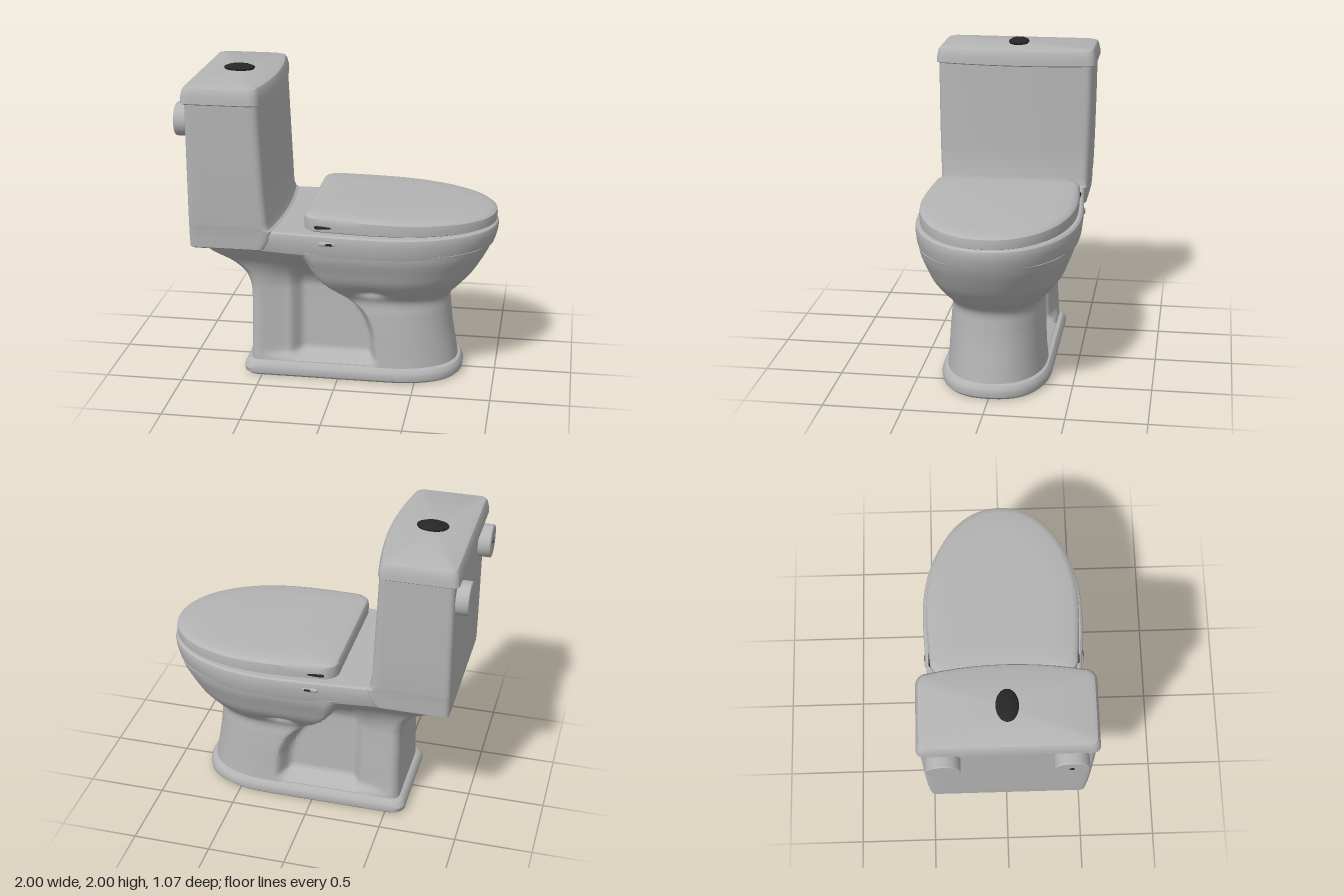
import * as THREE from 'three';
import { toCreasedNormals } from 'three/addons/utils/BufferGeometryUtils.js';

const smooth = (a, b, x) => THREE.MathUtils.smoothstep(x, a, b);

// Closed plan outline at one height: +z side, front, -z side, back.
// y may be a number or a rule of x; width(x) gives the half width.
function ring(y, xb, xf, width, { r = 0.05, rf = 0, bow = 0, n = 60, m = 10 } = {}) {
  const pts = [], side = [];
  const round = (d, rad) => (d < rad ? rad - Math.sqrt(Math.max(0, rad * rad - (rad - d) ** 2)) : 0);
  const xe = xf - bow;
  for (let i = 0; i <= n; i++) {
    const x = xb + (xe - xb) * (1 - Math.cos(Math.PI * i / n)) / 2;
    side.push([x, Math.max(0, width(x) - round(x - xb, r) - round(xe - x, rf))]);
  }
  const add = (x, z) => pts.push(new THREE.Vector3(x, typeof y === 'function' ? y(x) : y, z));
  const wf = side[n][1], wb = side[0][1];
  side.forEach(([x, z]) => add(x, z));
  for (let i = 1; i < m; i++) {
    const k = 1 - 2 * i / m;
    add(xe + bow * (1 - k * k), wf * k);
  }
  side.slice().reverse().forEach(([x, z]) => add(x, -z));
  for (let i = 1; i < m; i++) add(xb, wb * (2 * i / m - 1));
  return pts;
}

// Skin a stack of rings from bottom to top and cap both ends.
function loft(rings, crease = 0.6) {
  const pos = [], n = rings[0].length, ab = new THREE.Vector3(), ac = new THREE.Vector3();
  const tri = (a, b, c) => {
    if (ab.subVectors(b, a).cross(ac.subVectors(c, a)).lengthSq() < 1e-16) return;
    [a, b, c].forEach(p => pos.push(p.x, p.y, p.z));
  };
  const centre = R => R.reduce((s, p) => s.add(p), new THREE.Vector3()).divideScalar(n).setZ(0);
  const top = rings[rings.length - 1], low = rings[0], ct = centre(top), cl = centre(low);
  for (let i = 0; i < n; i++) {
    const j = (i + 1) % n;
    for (let k = 0; k + 1 < rings.length; k++) {
      const A = rings[k], B = rings[k + 1];
      tri(A[i], A[j], B[i]);
      tri(A[j], B[j], B[i]);
    }
    tri(ct, top[i], top[j]);
    tri(cl, low[j], low[i]);
  }
  const g = new THREE.BufferGeometry();
  g.setAttribute('position', new THREE.Float32BufferAttribute(pos, 3));
  return toCreasedNormals(g, crease);
}

// Half width that is straight behind xm and closes as a superellipse at xf.
const nose = (x, xm, xf, w, p) =>
  x <= xm ? w : w * Math.pow(Math.max(0, 1 - Math.pow((x - xm) / (xf - xm), p)), 1 / p);

export function createModel() {
  const model = new THREE.Group();
  const paint = (name, color) => {
    const mat = new THREE.MeshStandardMaterial({ color });
    mat.name = name;
    return mat;
  };
  const ceramic = paint('ceramic grey', 0xb4b4b4);
  const dark = paint('dark fittings', 0x262626);
  const add = (name, geo, mat = ceramic) => {
    const mesh = new THREE.Mesh(geo, mat);
    mesh.name = name;
    model.add(mesh);
    return mesh;
  };

  // Foot: low plinth with a rolled edge
  add('foot', loft([
    [0, -0.605, 0.77, 0.335], [0.015, -0.62, 0.785, 0.35], [0.045, -0.625, 0.79, 0.355],
    [0.07, -0.617, 0.783, 0.347], [0.088, -0.6, 0.77, 0.333], [0.095, -0.575, 0.75, 0.31],
  ].map(([y, xb, xf, w]) => ring(y, xb, xf, x => nose(x, 0.3, xf, w, 2.4), { r: 0.08 }))));

  // Pedestal and bowl: one skin, with a recess behind a curved edge on each side
  const table = [ // y, back x, front x, bowl half width, rear half width, recess edge x
    [0.08, -0.58, 0.755, 0.32, 0.31, 0.24], [0.2, -0.577, 0.735, 0.31, 0.303, 0.235],
    [0.32, -0.575, 0.715, 0.303, 0.298, 0.222], [0.44, -0.575, 0.702, 0.293, 0.292, 0.17],
    [0.54, -0.575, 0.702, 0.29, 0.288, 0.07], [0.62, -0.585, 0.77, 0.36, 0.288, -0.02],
    [0.7, -0.62, 0.84, 0.418, 0.3, -0.1], [0.78, -0.695, 0.893, 0.452, 0.335, -0.145],
    [0.86, -0.8, 0.938, 0.483, 0.4, -0.17], [0.92, -0.85, 0.965, 0.495, 0.45, -0.2],
  ];
  const spline = cols => new THREE.CatmullRomCurve3(
    table.map(row => new THREE.Vector3(...cols.map(c => row[c]))), false, 'catmullrom', 0.5);
  const extents = spline([0, 1, 2]), widths = spline([3, 4, 5]), rows = [];
  for (let k = 0; k <= 54; k++) {
    const { x: y, y: xb, z: xf } = extents.getPoint(k / 54);
    const { x: w, y: rear, z: edge } = widths.getPoint(k / 54);
    const mask = smooth(0.1, 0.15, y) * (1 - smooth(0.58, 0.86, y));
    rows.push(ring(y, xb, xf, x => {
      const hollow = rear - mask * (0.04 * smooth(-0.55, -0.32, x) + 0.08 * smooth(-0.33, -0.24, x));
      const bowl = nose(x, 0.3, xf, w, 2.25);
      const dent = 0.045 * Math.exp(-(((x - 0.21) / 0.1) ** 2) - ((y - 0.61) / 0.03) ** 2);
      return THREE.MathUtils.lerp(hollow, bowl, smooth(edge - 0.06, edge + 0.02, x)) - dent;
    }, { r: 0.06, n: 96 }));
  }
  add('pedestalAndBowl', loft(rows, 0.9));

  // Rim and rear deck
  const plan = (x, xf, w) => nose(x, 0.25, xf, w, 2.1) - 0.045 * (1 - smooth(-0.55, 0.25, x));
  add('rim', loft([
    [0.9, 0.955, 0.492], [0.905, 0.968, 0.508], [0.93, 0.978, 0.515], [0.98, 0.992, 0.521],
    [1.02, 0.996, 0.522], [1.036, 0.992, 0.518], [1.045, 0.98, 0.506],
  ].map(([y, xf, w]) => ring(x => y + 0.02 * (1 - smooth(-0.85, -0.2, x)) * (y < 0.95),
    -0.88, xf, x => plan(x, xf, w)))));

  // Closed seat lid, thinner toward the front
  add('seatLid', loft([
    [1.058, -0.188, 0.97, 0.482, 0.012], [1.066, -0.198, 0.984, 0.494, 0.014],
    [1.11, -0.2, 0.986, 0.496, 0.025], [1.145, -0.198, 0.982, 0.492, 0.035],
    [1.16, -0.188, 0.968, 0.48, 0.04], [1.168, -0.165, 0.94, 0.455, 0.042],
    [1.174, -0.06, 0.8, 0.34, 0.044],
  ].map(([y, xb, xf, w, drop]) => ring(x => y - drop * (x + 0.2) / 1.18, xb, xf,
    x => plan(x, xf, w), { r: 0.09 }))));

  // Tank, with a fillet where it meets the deck
  add('tank', loft([
    [0.915, -0.905, -0.42, 0.475], [0.925, -0.917, -0.405, 0.488], [0.98, -0.92, -0.37, 0.493],
    [1.045, -0.92, -0.36, 0.495], [1.055, -0.92, -0.378, 0.497], [1.09, -0.92, -0.392, 0.5],
    [1.3, -0.92, -0.403, 0.507], [1.6, -0.92, -0.418, 0.513], [1.86, -0.92, -0.43, 0.516],
  ].map(([y, xb, xf, w]) => ring(y, xb, xf, () => w, { r: 0.03, rf: 0.045, bow: 0.03, n: 24 }))));

  // Tank lid
  add('tankLid', loft([
    [1.855, -0.935, -0.415, 0.525], [1.862, -0.945, -0.407, 0.534], [1.9, -0.942, -0.41, 0.531],
    [1.94, -0.934, -0.418, 0.523], [1.957, -0.924, -0.428, 0.513], [1.966, -0.9, -0.45, 0.49],
  ].map(([y, xb, xf, w]) => ring(y, xb, xf, () => w, { r: 0.04, rf: 0.06, bow: 0.045, n: 24 }))));

  // Flush button
  const button = add('flushButton', new THREE.LatheGeometry(
    [[0.9, 0], [1, 0.012], [0.97, 0.02], [0.7, 0.031], [0.35, 0.036], [0, 0.037]]
      .map(([x, y]) => new THREE.Vector2(x, y)), 36), dark);
  button.scale.set(0.1, 1, 0.068);
  button.position.set(-0.68, 1.963, 0);

  // Wall spacers behind the tank
  const puck = [[0, -0.05], [0.105, -0.05], [0.105, 0.024], [0.1, 0.03], [0, 0.03]]
    .map(([x, y]) => new THREE.Vector2(x, y));
  for (const z of [-0.385, 0.37]) {
    const spacer = add('wallSpacer', toCreasedNormals(new THREE.LatheGeometry(puck, 36), 0.6));
    spacer.rotation.z = Math.PI / 2;
    spacer.position.set(-0.97, 1.725, z);
  }
  const hole = add('spacerHole', new THREE.CylinderGeometry(0.017, 0.017, 0.004, 16), dark);
  hole.rotation.z = Math.PI / 2;
  hole.position.set(-0.999, 1.725, 0.37);

  // Hinge bolts on the lid and small plugs on the deck, both sides
  for (const s of [-1, 1]) {
    const bolt = add('hingeBolt', new THREE.CapsuleGeometry(0.012, 0.09, 4, 12), dark);
    bolt.rotation.z = Math.PI / 2;
    bolt.position.set(-0.065, 1.09, s * 0.473);
    const plug = add('deckPlug', new THREE.CapsuleGeometry(0.017, 0.08, 4, 12));
    plug.rotation.z = Math.PI / 2;
    plug.position.set(-0.035, 0.993, s * 0.499);
    const slot = add('plugSlot', new THREE.CapsuleGeometry(0.009, 0.03, 4, 12), dark);
    slot.rotation.z = Math.PI / 2;
    slot.position.set(-0.025, 0.993, s * 0.509);
  }
  return model;
}
